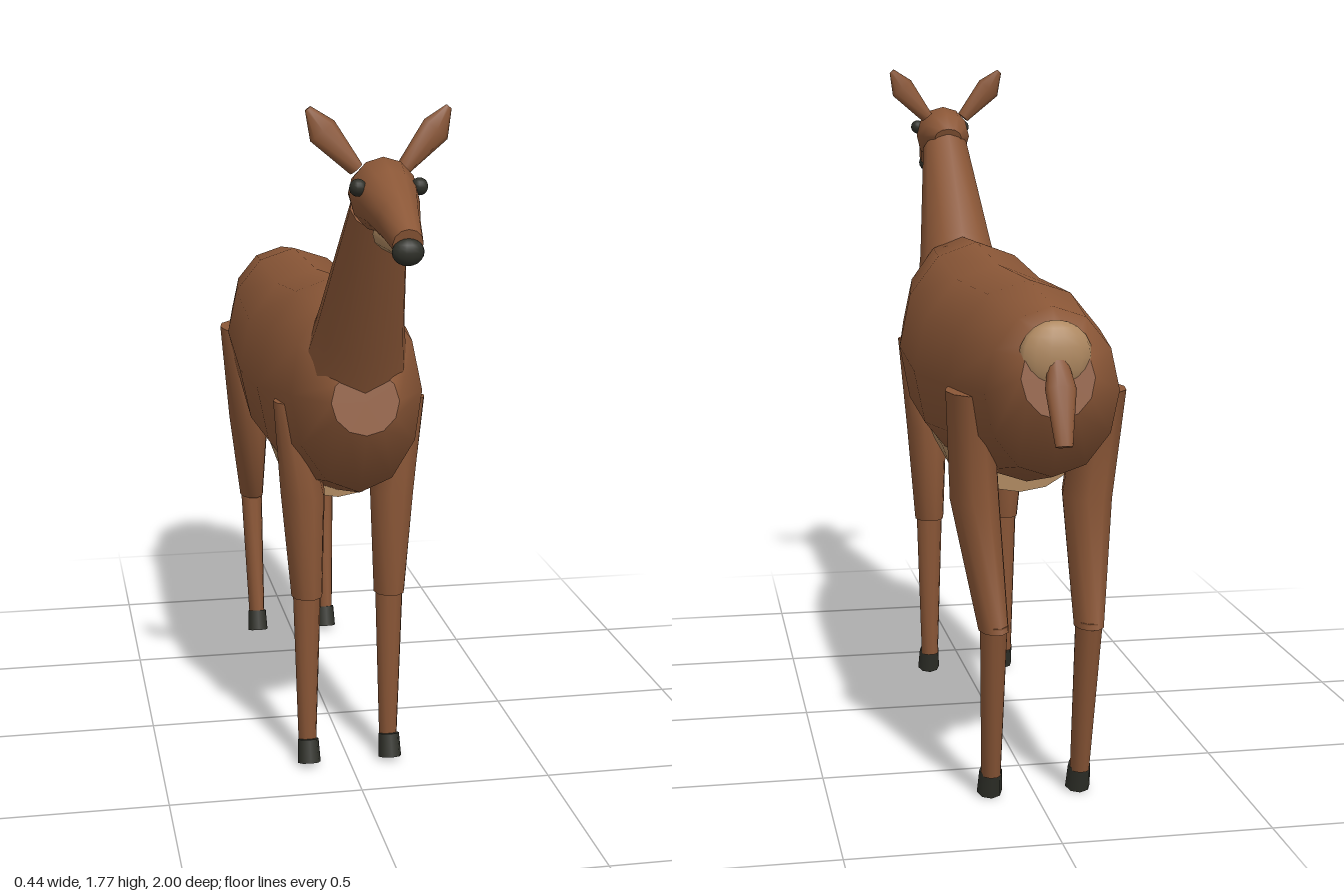
import * as THREE from 'three';

const coat = new THREE.MeshStandardMaterial({ color: 0x8b5737 });
coat.name = 'brown coat';
const cream = new THREE.MeshStandardMaterial({ color: 0xae8860 });
cream.name = 'cream fur';
const dark = new THREE.MeshStandardMaterial({ color: 0x2f3029 });
dark.name = 'dark hoof and nose';

const V = (x, y, z) => new THREE.Vector3(x, y, z);

// Skin over elliptical sections {c: centre, u, v: half axes}, with flat end caps
function loft(sections, sides = 12) {
  const first = sections[0], last = sections[sections.length - 1];
  const flip = first.u.clone().cross(first.v).dot(last.c.clone().sub(first.c)) < 0 ? -1 : 1;
  const pos = [], idx = [];
  const ring = (s) => {
    const start = pos.length / 3;
    for (let j = 0; j < sides; j++) {
      const a = (j / sides) * Math.PI * 2;
      const p = s.c.clone().addScaledVector(s.u, Math.cos(a)).addScaledVector(s.v, flip * Math.sin(a));
      pos.push(p.x, p.y, p.z);
    }
    return start;
  };
  const starts = sections.map(ring);
  for (let i = 0; i < starts.length - 1; i++) {
    for (let j = 0; j < sides; j++) {
      const k = (j + 1) % sides, a = starts[i], b = starts[i + 1];
      idx.push(a + j, a + k, b + j, a + k, b + k, b + j);
    }
  }
  [first, last].forEach((s, end) => {
    const r = ring(s), m = pos.length / 3;
    pos.push(s.c.x, s.c.y, s.c.z);
    for (let j = 0; j < sides; j++) {
      const k = (j + 1) % sides;
      if (end) idx.push(m, r + j, r + k);
      else idx.push(m, r + k, r + j);
    }
  });
  const g = new THREE.BufferGeometry();
  g.setAttribute('position', new THREE.Float32BufferAttribute(pos, 3));
  g.setIndex(idx);
  g.computeVertexNormals();
  return g;
}

// Upright section from its top and bottom points on the centre plane
const slice = ([zt, yt, zb, yb, w]) => ({
  c: V(0, (yt + yb) / 2, (zt + zb) / 2),
  u: V(w, 0, 0),
  v: V(0, (yt - yb) / 2, (zt - zb) / 2),
});
// Level section of a limb
const level = (s) => ([x, y, z, rx, rz]) => ({ c: V(s * x, y, z), u: V(rx, 0, 0), v: V(0, 0, rz) });

export function createModel() {
  const model = new THREE.Group();
  model.name = 'deer';
  const add = (name, geometry, material) => {
    const m = new THREE.Mesh(geometry, material);
    m.name = name;
    model.add(m);
    return m;
  };
  const ball = (name, material, [x, y, z], [rx, ry, rz]) => {
    const m = add(name, new THREE.SphereGeometry(1, 14, 10), material);
    m.position.set(x, y, z);
    m.scale.set(rx, ry, rz);
    return m;
  };

  // Trunk and underside
  add('body', loft([
    [0.5, 1.12, 0.54, 0.96, 0.085],
    [0.36, 1.285, 0.45, 0.79, 0.168],
    [0.12, 1.287, 0.15, 0.71, 0.215],
    [-0.2, 1.252, -0.17, 0.7, 0.22],
    [-0.6, 1.25, -0.58, 0.755, 0.203],
    [-0.86, 1.215, -0.87, 0.825, 0.157],
    [-0.905, 1.15, -0.945, 0.97, 0.085],
  ].map(slice)), coat);
  add('belly', loft([
    [0.15, 0.87, 0.15, 0.69, 0.135],
    [-0.15, 0.87, -0.15, 0.665, 0.14],
    [-0.5, 0.87, -0.5, 0.712, 0.13],
  ].map(slice)), cream);
  ball('rumpPatch', cream, [0, 1.105, -0.896], [0.085, 0.083, 0.043]);
  add('tail', loft([
    [-0.93, 1.12, -0.9, 1.08, 0.022],
    [-0.968, 1.05, -0.935, 1.03, 0.036],
    [-1.0, 0.92, -0.978, 0.912, 0.02],
  ].map(slice), 10), coat);

  // Neck and head
  add('neck', loft([
    [0.27, 1.19, 0.505, 1.04, 0.13],
    [0.36, 1.295, 0.56, 1.16, 0.108],
    [0.605, 1.575, 0.73, 1.49, 0.068],
  ].map(slice)), coat);
  add('head', loft([
    [0.6, 1.59, 0.62, 1.54, 0.04],
    [0.64, 1.635, 0.66, 1.5, 0.07],
    [0.71, 1.656, 0.73, 1.485, 0.08],
    [0.785, 1.635, 0.79, 1.49, 0.068],
    [0.89, 1.585, 0.88, 1.48, 0.048],
    [0.985, 1.53, 0.97, 1.465, 0.034],
  ].map(slice)), coat);
  add('jaw', loft([
    [0.79, 1.53, 0.79, 1.455, 0.04],
    [0.95, 1.51, 0.94, 1.46, 0.026],
  ].map(slice)), cream);
  ball('nose', dark, [0, 1.48, 0.978], [0.036, 0.03, 0.022]);

  for (const s of [1, -1]) {
    const side = s > 0 ? 'left' : 'right';
    ball(side + 'Eye', dark, [s * 0.07, 1.595, 0.772], [0.02, 0.02, 0.02]);

    // Leaf-shaped ear, thin from front to back
    add(side + 'Ear', loft([
      [0.055, 1.625, 0.672, 0.018, 0.016],
      [0.132, 1.712, 0.664, 0.036, 0.017],
      [0.164, 1.762, 0.656, 0.008, 0.005],
    ].map(([x, y, z, w, t]) => ({
      c: V(s * x, y, z), u: V(s * w * 0.77, -w * 0.64, 0), v: V(0, 0, t),
    })), 8), coat);

    // Upper and lower leg sections
    add(side + 'FrontLeg', loft([
      [0.155, 1.0, 0.305, 0.042, 0.043],
      [0.118, 0.75, 0.283, 0.058, 0.078],
      [0.11, 0.47, 0.296, 0.041, 0.047],
    ].map(level(s)), 10), coat);
    add(side + 'FrontShin', loft([
      [0.11, 0.48, 0.296, 0.037, 0.04],
      [0.11, 0.06, 0.298, 0.024, 0.022],
    ].map(level(s)), 10), coat);
    add(side + 'HindLeg', loft([
      [0.16, 1.0, -0.682, 0.056, 0.098],
      [0.138, 0.73, -0.63, 0.06, 0.1],
      [0.115, 0.44, -0.758, 0.036, 0.055],
    ].map(level(s)), 10), coat);
    add(side + 'HindShin', loft([
      [0.115, 0.455, -0.762, 0.033, 0.048],
      [0.11, 0.06, -0.698, 0.024, 0.03],
    ].map(level(s)), 10), coat);

    // Hooves, tipped slightly backwards
    for (const [name, z] of [['FrontHoof', 0.318], ['HindHoof', -0.685]]) {
      const hoof = add(side + name, new THREE.CylinderGeometry(0.028, 0.031, 0.062, 8), dark);
      hoof.position.set(s * 0.11, 0.039, z);
      hoof.rotation.x = -0.27;
    }
  }
  return model;
}
